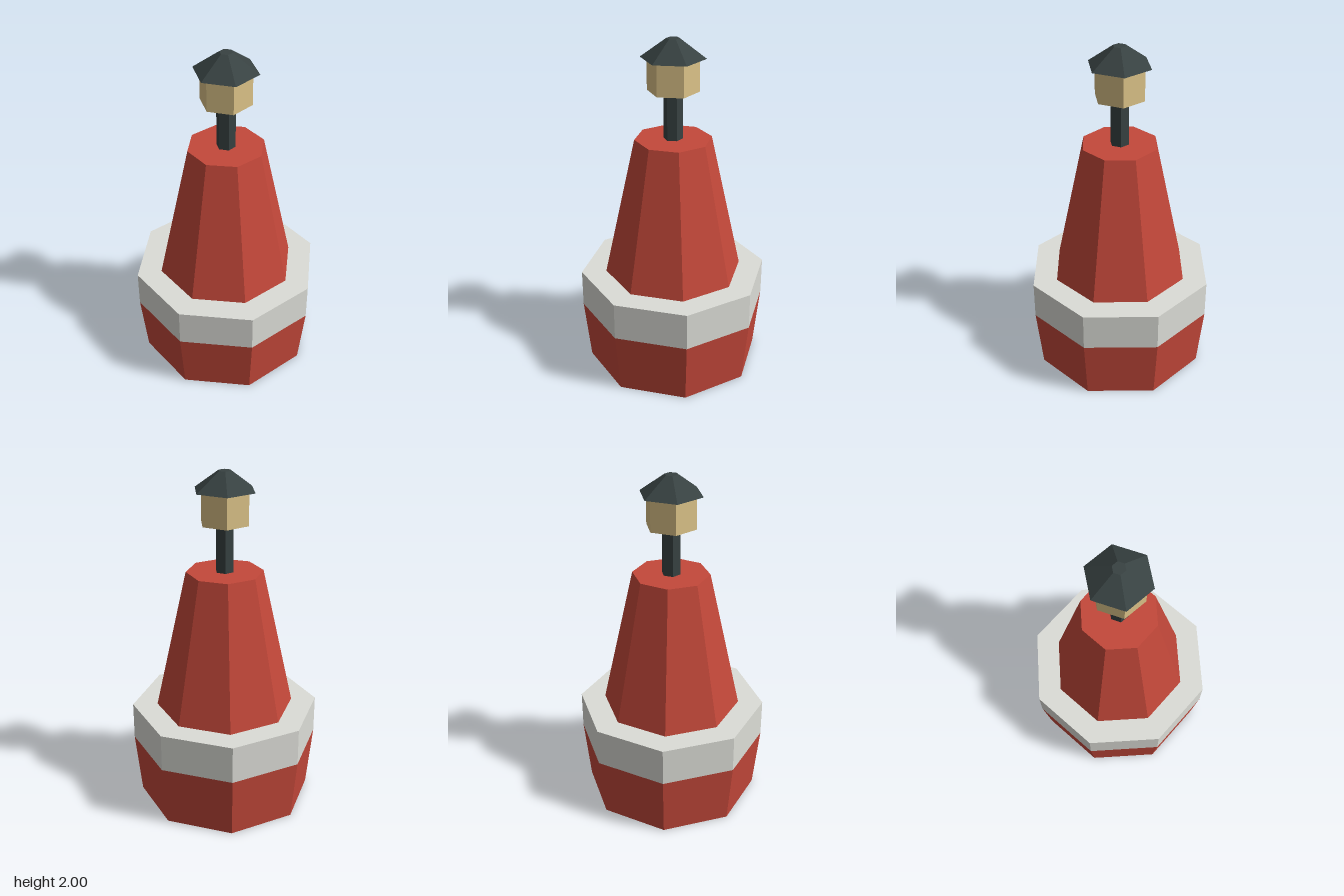
import * as THREE from 'three';

const paint = (name, color) => {
  const m = new THREE.MeshStandardMaterial({ color, flatShading: true });
  m.name = name;
  return m;
};

export function createModel() {
  const red = paint('buoy red', 0xc4483a);
  const white = paint('off white', 0xdcddd7);
  const dark = paint('dark slate', 0x384242);
  const glow = paint('lamp yellow', 0xdcc388);

  const buoy = new THREE.Group();
  buoy.name = 'buoy';

  // A tapered prism standing between two heights, with a corner facing +z
  const prism = (name, material, sides, y0, y1, rBottom, rTop) => {
    const geometry = new THREE.CylinderGeometry(rTop, rBottom, y1 - y0, sides);
    const mesh = new THREE.Mesh(geometry, material);
    mesh.name = name;
    mesh.position.y = (y0 + y1) / 2;
    buoy.add(mesh);
  };

  // Eight-sided float, collar and tower
  prism('hull', red, 8, 0, 0.37, 0.517, 0.554);
  prism('collar', white, 8, 0.37, 0.593, 0.554, 0.554);
  prism('tower', red, 8, 0.593, 1.427, 0.407, 0.222);

  // Six-sided post, lantern and roof
  prism('post', dark, 6, 1.427, 1.706, 0.055, 0.055);
  prism('lantern', glow, 6, 1.706, 1.892, 0.147, 0.147);
  prism('roof', dark, 6, 1.892, 2, 0.184, 0.037);

  return buoy;
}
